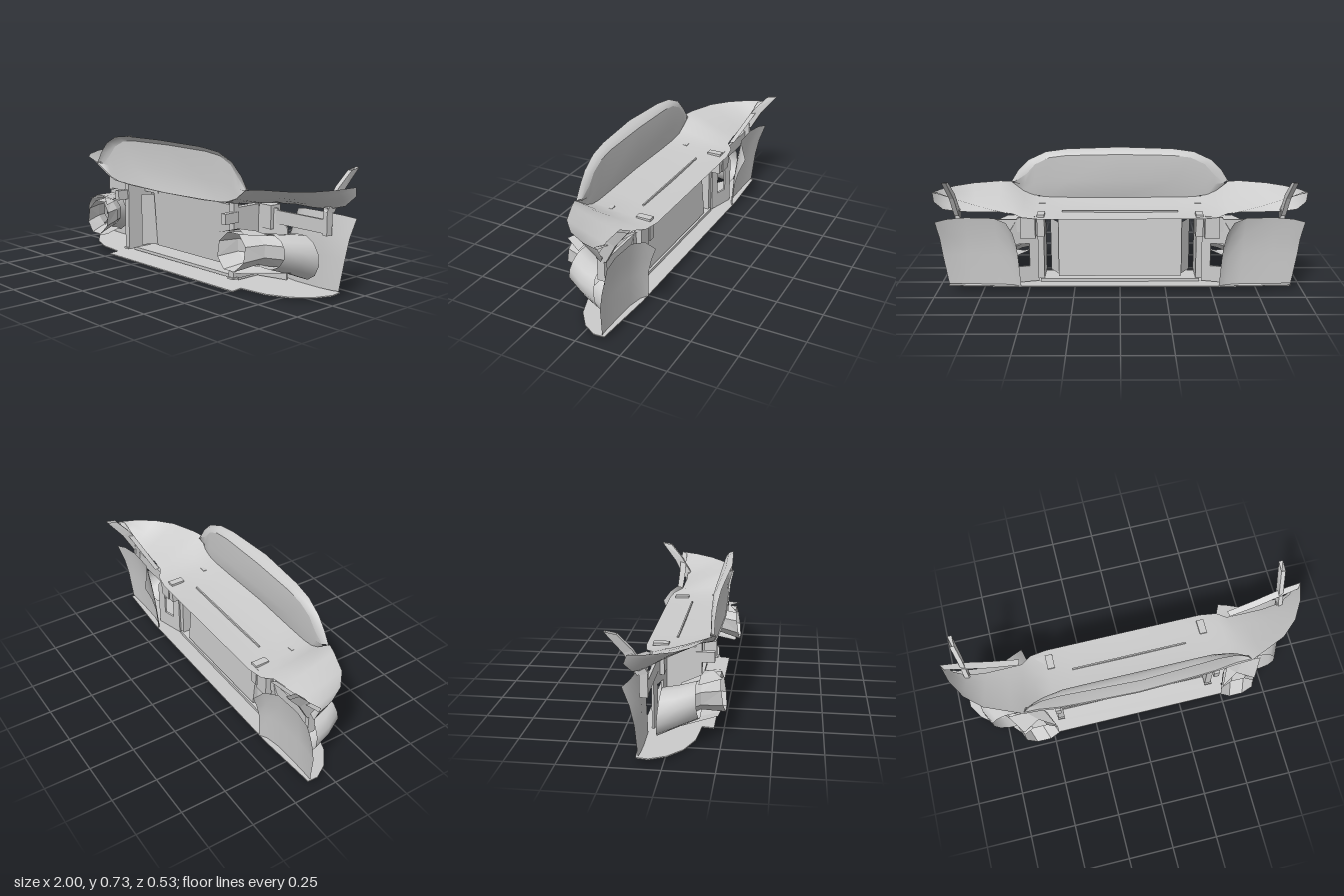
import * as THREE from 'three';

const mat = new THREE.MeshStandardMaterial({ color: 0xcccccc, side: THREE.DoubleSide });
const flat = new THREE.MeshStandardMaterial({ color: 0xcccccc, side: THREE.DoubleSide, flatShading: true });

function add(parent, name, geo, material = flat) {
  const m = new THREE.Mesh(geo, material);
  m.name = name;
  parent.add(m);
  return m;
}

// Skin between rows of [x, y, z] points, all rows of the same length
function skin(rows, closed = false) {
  const n = rows[0].length, idx = [];
  const steps = closed ? n : n - 1;
  for (let r = 0; r < rows.length - 1; r++) {
    for (let i = 0; i < steps; i++) {
      const a = r * n + i, b = r * n + (i + 1) % n;
      idx.push(a, b, a + n, b, b + n, a + n);
    }
  }
  const g = new THREE.BufferGeometry();
  g.setAttribute('position', new THREE.Float32BufferAttribute(rows.flat(2), 3));
  g.setIndex(idx);
  g.computeVertexNormals();
  return g;
}

// Full-width row from its +x half, which starts on the centre line
const full = (half) => [...half.slice(1).reverse().map(([x, y, z]) => [-x, y, z]), ...half];

const mixRow = (a, b, t) => a.map((p, i) => p.map((v, k) => v + (b[i][k] - v) * t));

const toVectors = (points) => points.map(([x, y]) => new THREE.Vector2(x, y));

// Box from its minimum and maximum corners
function box(x0, x1, y0, y1, z0, z1) {
  return new THREE.BoxGeometry(x1 - x0, y1 - y0, z1 - z0)
    .translate((x0 + x1) / 2, (y0 + y1) / 2, (z0 + z1) / 2);
}

// Oval ring of points for the ducts; lean pushes the top backwards
function ring(cx, cy, cz, rx, ry, lean = 0, n = 12) {
  return Array.from({ length: n }, (_, i) => {
    const a = ((i + 0.5) / n) * Math.PI * 2;
    return [cx + rx * Math.cos(a), cy + ry * Math.sin(a), cz - lean * Math.sin(a)];
  });
}

export function createModel() {
  const model = new THREE.Group();
  model.name = 'frontStructure';

  // Floor tray, sloping down to a centre tongue at the front
  const edge = [[0.52, 0.2], [0.52, 0.14], [0.68, 0.125], [0.8, 0.08], [0.89, 0.01], [0.94, -0.07], [0.94, -0.13], [0.6, -0.152]];
  const outline = [...edge, ...edge.map(([x, z]) => [-x, z]).reverse()];
  const floorGeo = new THREE.ExtrudeGeometry(
    new THREE.Shape(toVectors(outline.map(([x, z]) => [x, -z]))), { depth: 0.006, bevelEnabled: false });
  floorGeo.rotateX(-Math.PI / 2);
  const fp = floorGeo.attributes.position;
  for (let i = 0; i < fp.count; i++) fp.setY(i, fp.getY(i) + (0.2 - fp.getZ(i)) * 0.07);
  floorGeo.computeVertexNormals();
  add(model, 'floorTray', floorGeo);

  // Upper deck: low in the middle, rising to the fender rims
  const deckFront = full([[0, 0.44, 0.215], [0.3, 0.442, 0.207], [0.46, 0.45, 0.2], [0.54, 0.48, 0.2], [0.62, 0.535, 0.213],
    [0.68, 0.543, 0.19], [0.82, 0.545, 0.13], [0.91, 0.547, 0.05], [0.97, 0.552, -0.05], [1, 0.557, -0.15]]);
  const deckBack = full([[0, 0.41, -0.155], [0.3, 0.41, -0.155], [0.44, 0.41, -0.155], [0.53, 0.415, -0.14], [0.58, 0.425, -0.1],
    [0.66, 0.435, -0.095], [0.78, 0.435, -0.095], [0.88, 0.44, -0.105], [0.95, 0.46, -0.135], [0.99, 0.51, -0.168]]);
  const deckRows = [0, 0.25, 0.5, 0.75, 1].map((t) =>
    mixRow(deckFront, deckBack, t).map(([x, y, z]) => [x, y - 0.015 * Math.sin(Math.PI * t) * (1 - Math.abs(x)), z]));
  add(model, 'upperDeck', skin(deckRows), mat);

  // Upright panel above the deck with a flange curling forward
  const panelBase = full([[0, 0.44, 0.21], [0.3, 0.443, 0.2], [0.43, 0.448, 0.195], [0.5, 0.462, 0.19], [0.55, 0.485, 0.19], [0.62, 0.535, 0.205]]);
  const panelTop = full([[0, 0.695, 0.185], [0.3, 0.69, 0.183], [0.4, 0.678, 0.18], [0.48, 0.64, 0.18], [0.53, 0.585, 0.18], [0.59, 0.53, 0.185]]);
  const flange = full([[0, 0.727, 0.245], [0.3, 0.72, 0.23], [0.42, 0.705, 0.22], [0.52, 0.66, 0.21], [0.58, 0.6, 0.205], [0.62, 0.535, 0.205]]);
  const flangeMid = mixRow(panelTop, flange, 0.5).map(([x, y, z]) => [x, y + 0.007, z - 0.006]);
  const mid = mixRow(panelBase, panelTop, 0.4).map(([x, y]) => [x, y, 0.182]);
  add(model, 'uprightPanel', skin([panelBase, mid, panelTop]), mat);
  add(model, 'uprightFlange', skin([panelTop, flangeMid, flange]), mat);

  // Leaning radiator, its tray and the strip on its top edge
  const radiator = add(model, 'radiator', box(-0.34, 0.34, -0.17, 0.17, -0.02, 0.02));
  radiator.position.set(0, 0.225, -0.025);
  radiator.rotation.x = 0.08;
  add(model, 'radiatorTray', box(-0.44, 0.44, 0.025, 0.042, -0.06, 0.08));
  add(model, 'radiatorStrip', box(-0.32, 0.32, 0.39, 0.422, -0.014, -0.006));

  const side = new THREE.Group();
  side.name = 'leftSide';

  // Raised strip along the rear of the fender, with a gap below it
  add(side, 'fenderRearStrip', skin([
    [[0.6, 0.425, -0.1], [0.75, 0.465, -0.105], [0.88, 0.51, -0.115], [0.98, 0.55, -0.12]],
    [[0.59, 0.43, -0.13], [0.75, 0.475, -0.14], [0.88, 0.52, -0.15], [1, 0.557, -0.15]]]), mat);

  // Radiator side wall and the guide plates beside the core
  add(side, 'sideWall', box(0.42, 0.455, 0.04, 0.413, -0.05, 0.13));
  add(side, 'wallTop', box(0.42, 0.455, 0.413, 0.435, 0.1, 0.13));
  add(side, 'guidePlate', skin([
    [[0.34, 0.06, -0.03], [0.34, 0.36, -0.03]], [[0.39, 0.06, 0.06], [0.39, 0.36, 0.06]]]));
  add(side, 'guideFoot', box(0.42, 0.46, 0.038, 0.048, 0.1, 0.138));
  add(side, 'wallCap', box(0.41, 0.45, 0.3, 0.425, -0.12, -0.04));
  add(side, 'topRail', box(0.3, 0.42, 0.37, 0.395, -0.01, 0.01));

  // Back plate with an opening, turned back toward its outer edge
  const plate = new THREE.Shape(toVectors([[0, 0.03], [0.17, 0.03], [0.17, 0.3], [0.11, 0.4], [0, 0.4]]));
  plate.holes.push(new THREE.Path(toVectors([[0.05, 0.12], [0.05, 0.25], [0.12, 0.25], [0.12, 0.12]])));
  const backPlate = add(side, 'backPlate', new THREE.ExtrudeGeometry(plate, { depth: 0.012, bevelEnabled: false }));
  backPlate.position.set(0.45, 0, -0.06);
  backPlate.rotation.y = 0.26;
  add(side, 'plateBracket', box(0.46, 0.54, 0.29, 0.415, -0.12, -0.05));

  // Cross bar and its front block
  add(side, 'crossBar', box(0.47, 0.87, 0.32, 0.39, -0.09, -0.075));
  add(side, 'barBlock', box(0.43, 0.46, 0.335, 0.39, 0.1, 0.195));

  // Outer air duct: open mouth swinging outward and downward to the rear
  add(side, 'outerDuct', skin([
    ring(0.705, 0.235, 0.14, 0.11, 0.088, 0.01),
    ring(0.745, 0.215, 0.05, 0.115, 0.1),
    ring(0.77, 0.192, -0.04, 0.107, 0.118, -0.01)], true), mat);
  // Inner air duct: faceted mouth with a short tube joining the outer duct
  add(side, 'innerDuct', skin([
    ring(0.56, 0.225, 0.25, 0.1, 0.1, 0.015, 8),
    ring(0.6, 0.235, 0.15, 0.1, 0.085, 0, 8),
    ring(0.69, 0.22, 0.05, 0.09, 0.085, 0, 8)], true));
  // Plates above and below the duct mouths
  add(side, 'ductHood', skin([
    [[0.47, 0.31, 0.25], [0.56, 0.335, 0.2], [0.65, 0.325, 0.25]],
    [[0.52, 0.315, 0.15], [0.62, 0.325, 0.14], [0.72, 0.315, 0.14]]]));
  add(side, 'ductLip', skin([
    [[0.5, 0.13, 0.23], [0.56, 0.115, 0.235], [0.64, 0.125, 0.23]],
    [[0.6, 0.13, 0.06], [0.7, 0.12, 0.06], [0.8, 0.13, 0.05]]]));

  // Rear liner, hollow toward the back with both upper corners flaring rearward
  const linerBottom = [[0.94, 0.035, -0.118], [0.9, 0.032, -0.114], [0.82, 0.03, -0.112], [0.66, 0.03, -0.115], [0.58, 0.03, -0.13], [0.54, 0.03, -0.155]];
  const linerMid = [[0.965, 0.2, -0.128], [0.91, 0.2, -0.12], [0.83, 0.2, -0.115], [0.67, 0.2, -0.12], [0.59, 0.19, -0.14], [0.55, 0.18, -0.163]];
  const linerTop = [[0.99, 0.4, -0.178], [0.93, 0.41, -0.153], [0.83, 0.415, -0.138], [0.68, 0.412, -0.142], [0.61, 0.395, -0.18], [0.57, 0.345, -0.217]];
  const linerHigh = mixRow(linerMid, linerTop, 0.5).map(([x, y, z]) => [x - 0.004, y, z + 0.006]);
  add(side, 'rearLiner', skin([linerBottom, linerMid, linerHigh, linerTop]), mat);

  // Stay rising behind the fender, a flattened four-sided bar
  const stay = (x, y, z, y2, z2) => [[x, y, z], [x + 0.024, y, z], [x + 0.024, y2, z2], [x, y2, z2]];
  add(side, 'rearStay', skin([
    stay(0.868, 0.43, -0.07, 0.42, -0.125),
    stay(0.88, 0.545, -0.14, 0.53, -0.185),
    stay(0.9, 0.625, -0.21, 0.635, -0.268)], true));
  add(side, 'stayFoot', box(0.865, 0.89, 0.31, 0.45, -0.115, -0.075));

  const other = side.clone();
  other.name = 'rightSide';
  other.scale.x = -1;
  model.add(side, other);
  return model;
}
